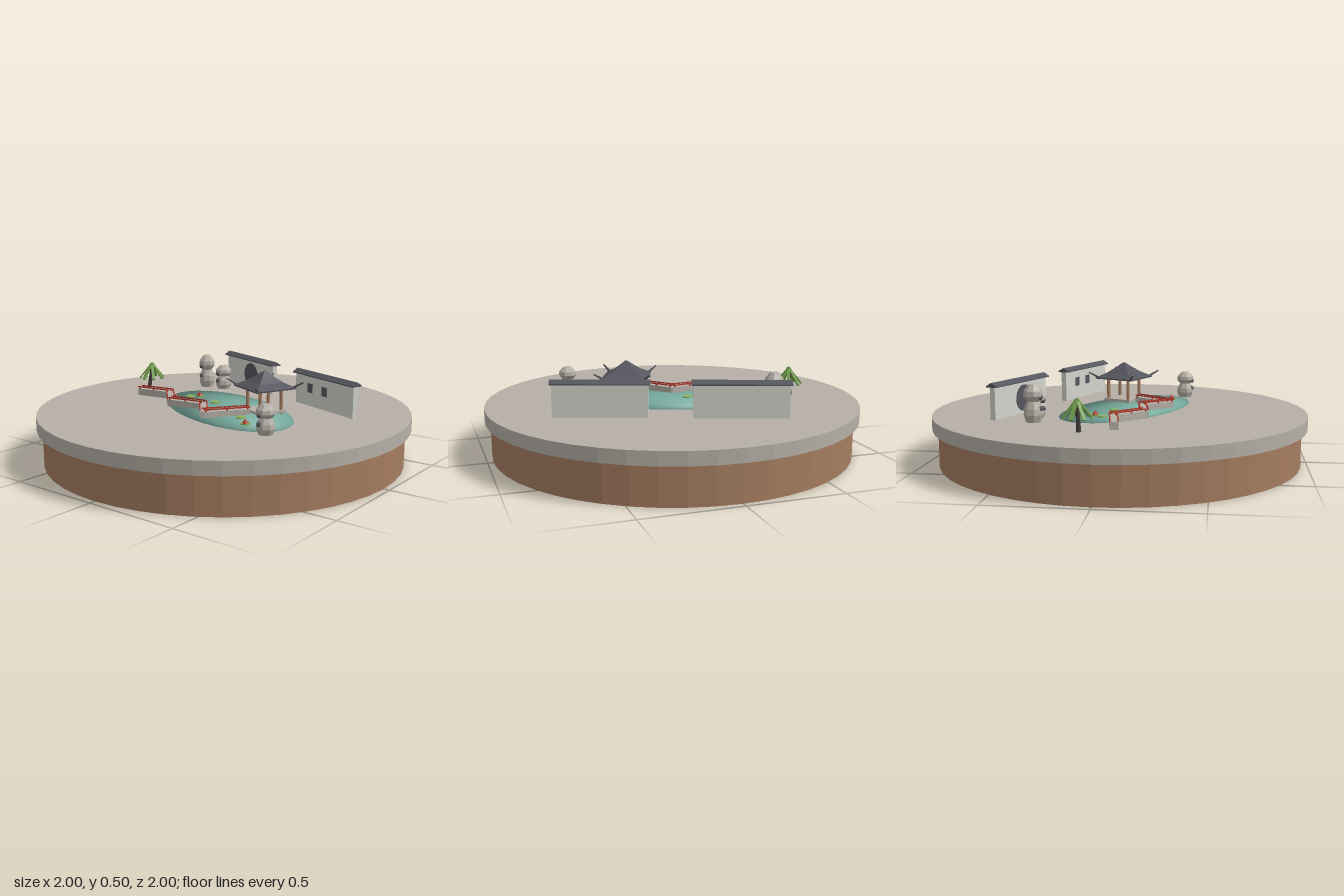
import * as THREE from 'three';

const mat = (name, color, opts = {}) => {
  const m = new THREE.MeshStandardMaterial({ color, ...opts });
  m.name = name;
  return m;
};

export function createModel() {
  const flat = { flatShading: true };
  const stone = mat('stone', 0xb5afa6, flat);
  const earth = mat('earth', 0xa67d60, flat);
  const water = mat('water', 0x78ab9f);
  const plaster = mat('plaster', 0xd3d3cd, flat);
  const tile = mat('tile', 0x56565f, flat);
  const red = mat('red', 0xad382c, flat);
  const leaf = mat('leaf', 0x6f9c4a, flat);
  const pad = mat('pad', 0x8bb35c, flat);
  const bark = mat('bark', 0x3f3a36, flat);

  const model = new THREE.Group();
  const GROUND = 0.266;
  const add = (name, geo, material, x, y, z, parent = model) => {
    const m = new THREE.Mesh(geo, material);
    m.name = name;
    m.position.set(x, y, z);
    parent.add(m);
    return m;
  };
  const group = (name, x, y, z, ry = 0) => {
    const g = new THREE.Group();
    g.name = name;
    g.position.set(x, y, z);
    g.rotation.y = ry;
    model.add(g);
    return g;
  };
  // thin rod between two points
  const rod = (name, a, b, r0, r1, sides, material, parent) => {
    const d = b.clone().sub(a);
    const m = add(name, new THREE.CylinderGeometry(r1, r0, d.length(), sides), material, 0, 0, 0, parent);
    m.position.copy(a).add(b).multiplyScalar(0.5);
    m.quaternion.setFromUnitVectors(new THREE.Vector3(0, 1, 0), d.normalize());
    return m;
  };
  const V = (x, y, z) => new THREE.Vector3(x, y, z);

  // island
  add('earthBase', new THREE.CylinderGeometry(0.97, 0.97, 0.2, 48), earth, 0, 0.1, 0);
  add('ground', new THREE.CylinderGeometry(1, 1, GROUND - 0.197, 48), stone, 0, (GROUND + 0.197) / 2, 0);

  // pond: dome pressed almost flat, keeping its rounded normals
  const pondGeo = new THREE.SphereGeometry(1, 32, 10, 0, Math.PI * 2, 0, Math.PI / 2);
  const p = pondGeo.attributes.position;
  for (let i = 0; i < p.count; i++) p.setXYZ(i, p.getX(i) * 0.515, p.getY(i) * 0.008, p.getZ(i) * 0.27);
  add('pond', pondGeo, water, 0.05, GROUND, 0.035).rotation.y = -0.44;

  // zigzag bridge with a rail on either side
  const path = [[-0.575, 0.045], [-0.38, 0.014], [-0.245, 0.157], [-0.045, 0.125], [0.078, 0.27], [0.22, 0.08]];
  for (let i = 0; i < path.length - 1; i++) {
    const [x0, z0] = path[i], [x1, z1] = path[i + 1];
    const len = Math.hypot(x1 - x0, z1 - z0) + 0.012;
    const span = group('bridgeSpan', (x0 + x1) / 2, GROUND, (z0 + z1) / 2, -Math.atan2(z1 - z0, x1 - x0));
    add('deck', new THREE.BoxGeometry(len, 0.038, 0.042), stone, 0, 0.019, 0, span);
    for (const s of [-1, 1]) {
      add('rail', new THREE.BoxGeometry(len, 0.006, 0.006), red, 0, 0.049, s * 0.019, span);
      for (const e of [-0.45, 0, 0.45])
        add('railPost', new THREE.BoxGeometry(0.006, 0.012, 0.006), red, e * len, 0.042, s * 0.019, span);
    }
  }

  // pavilion: local corners lie on the x and z axes
  const pavilion = group('pavilion', 0.26, 0, -0.01, 0.37);
  add('floor', new THREE.CylinderGeometry(0.115, 0.115, 0.014, 4), stone, 0, 0.285, 0, pavilion);
  const roofProfile = [[0, 0.405], [0.165, 0.405], [0.167, 0.412], [0.1, 0.438], [0.05, 0.466], [0.012, 0.49], [0, 0.495]]
    .map(([r, y]) => new THREE.Vector2(r, y));
  add('roof', new THREE.LatheGeometry(roofProfile, 4), tile, 0, 0, 0, pavilion);
  for (let i = 0; i < 4; i++) {
    const a = i * Math.PI / 2, c = Math.cos(a), s = Math.sin(a);
    add('post', new THREE.CylinderGeometry(0.009, 0.009, 0.145, 8), earth, 0.09 * c, 0.338, 0.09 * s, pavilion);
    rod('eaveTip', V(0.145 * c, 0.41, 0.145 * s), V(0.205 * c, 0.443, 0.205 * s), 0.007, 0.004, 5, tile, pavilion);
  }

  // garden walls with gabled tile caps
  const capShape = new THREE.Shape([[-0.031, 0], [0.031, 0], [0.031, 0.006], [0, 0.024], [-0.031, 0.006]]
    .map(([x, y]) => new THREE.Vector2(x, y)));
  const gardenWall = (x, z) => {
    const w = group('gardenWall', x, GROUND, z, -0.345);
    add('wallPanel', new THREE.BoxGeometry(0.475, 0.172, 0.03), plaster, 0, 0.086, 0, w);
    const cap = new THREE.ExtrudeGeometry(capShape, { depth: 0.494, bevelEnabled: false });
    cap.translate(0, 0, -0.247);
    add('wallCap', cap, tile, 0, 0.167, 0, w).rotation.y = Math.PI / 2;
    return w;
  };
  const gateWall = gardenWall(-0.185, -0.513);
  add('moonGate', new THREE.CylinderGeometry(0.07, 0.07, 0.006, 24), tile, 0.02, 0.082, 0.016, gateWall).rotation.x = Math.PI / 2;
  const windowWall = gardenWall(0.47, -0.278);
  for (const x of [-0.11, 0.01])
    add('window', new THREE.BoxGeometry(0.04, 0.05, 0.006), tile, x, 0.1, 0.016, windowWall);

  // waisted garden rocks with dark hollows
  const rockProfile = [[0, 0], [0.037, 0], [0.049, 0.2], [0.046, 0.36], [0.031, 0.55], [0.05, 0.7], [0.047, 0.83], [0.022, 1], [0, 1]];
  for (const [x, z, h] of [[-0.425, -0.38, 0.19], [-0.308, -0.393, 0.138], [0.505, 0.33, 0.148]]) {
    const rock = group('gardenRock', x, GROUND, z, 0.3);
    const pts = rockProfile.map(([r, y]) => new THREE.Vector2(r, y * h));
    add('rockBody', new THREE.LatheGeometry(pts, 8), stone, 0, 0, 0, rock);
    for (const [y, r] of [[0.37, 0.04], [0.66, 0.04]])
      add('hollow', new THREE.SphereGeometry(0.013, 8, 6), tile, -0.55 * r, y * h, 0.85 * r, rock);
  }

  // palm with drooping blades
  const palm = group('palm', -0.64, GROUND, -0.12);
  rod('trunk', V(-0.015, 0, 0.01), V(0, 0.14, 0), 0.012, 0.008, 6, bark, palm);
  for (let i = 0; i < 7; i++) {
    const frond = new THREE.Group();
    frond.name = 'frond';
    frond.position.y = 0.152;
    frond.rotation.y = i * Math.PI * 2 / 7 + 0.2;
    palm.add(frond);
    const blade = add('blade', new THREE.BoxGeometry(0.115, 0.008, 0.017), leaf, 0.036, -0.042, 0, frond);
    blade.rotation.z = -0.9;
  }

  // lily pads, some in bloom
  const lilies = [[-0.285, -0.055], [-0.18, 0.008], [-0.08, -0.025], [0.24, 0.17],
    [-0.25, -0.095, true], [-0.31, 0.04, true], [0.335, 0.26, true]];
  for (const [x, z, bloom] of lilies) {
    const lily = group('lily', x, 0.277, z);
    add('lilyPad', new THREE.CylinderGeometry(0.025, 0.025, 0.006, 12), pad, 0, 0, 0, lily);
    if (bloom) add('blossom', new THREE.ConeGeometry(0.018, 0.022, 8), red, 0, 0.014, 0, lily);
  }
  return model;
}
